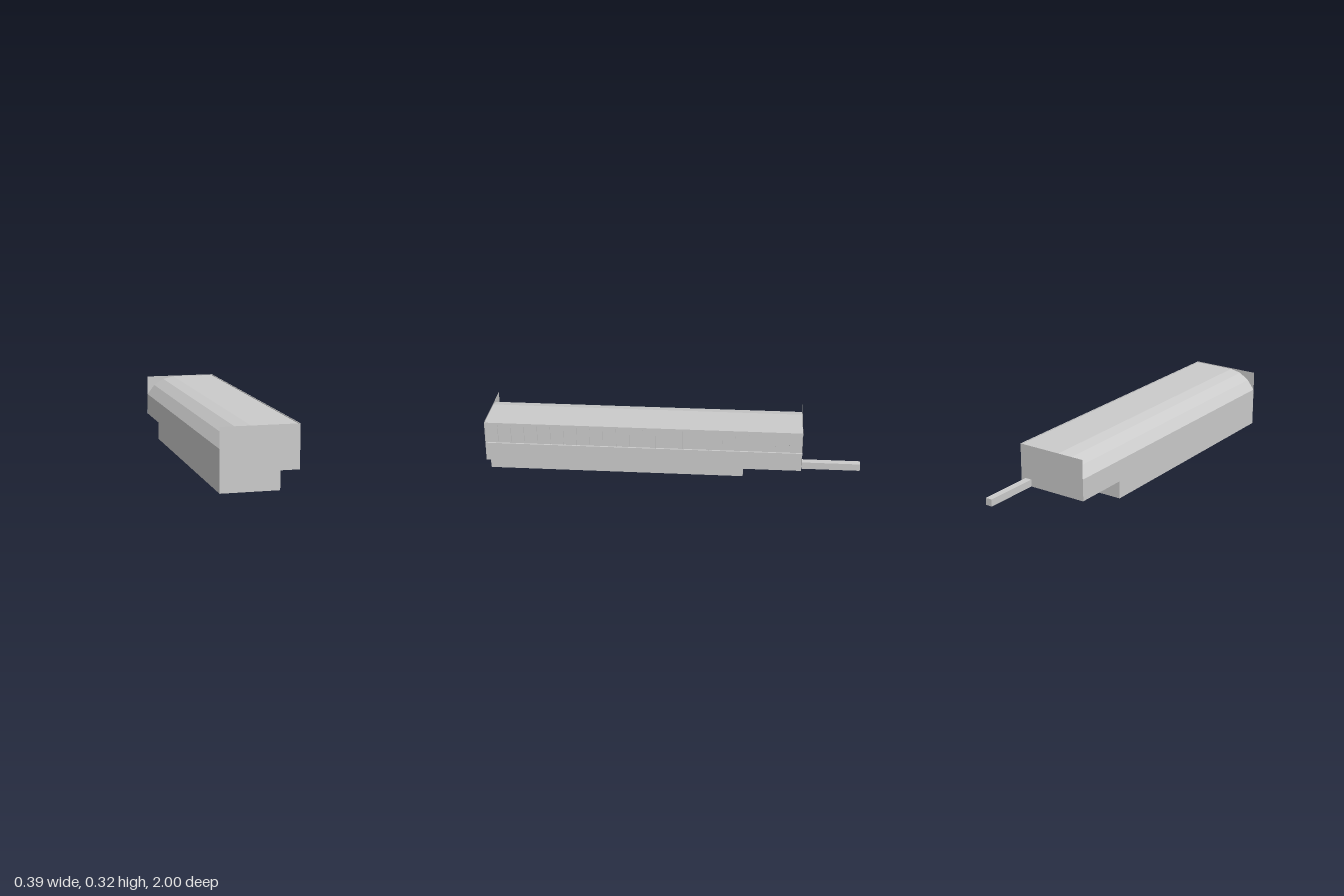
import * as THREE from 'three';

const LEFT = -0.197, RIGHT = 0.197, FLOOR = 0.096, SILL = 0.19, TOP = 0.318;
const BACK = -0.692, FRONT = 1;

export function createModel() {
  const model = new THREE.Group();
  const grey = new THREE.MeshStandardMaterial({ color: 0xcccccc });
  const greyThin = new THREE.MeshStandardMaterial({ color: 0xcccccc, side: THREE.DoubleSide });
  const glass = new THREE.MeshStandardMaterial({ color: 0xeeeeee });

  function add(name, geometry, material = grey, parent = model) {
    const mesh = new THREE.Mesh(geometry, material);
    mesh.name = name;
    parent.add(mesh);
    return mesh;
  }
  // Box given by its limits on each axis
  function box(name, [x0, x1], [y0, y1], [z0, z1], material = grey) {
    const mesh = add(name, new THREE.BoxGeometry(x1 - x0, y1 - y0, z1 - z0), material);
    mesh.position.set((x0 + x1) / 2, (y0 + y1) / 2, (z0 + z1) / 2);
    return mesh;
  }
  const outline = points => new THREE.Shape(points.map(p => new THREE.Vector2(...p)));
  const extrude = points => new THREE.ExtrudeGeometry(outline(points),
    { depth: FRONT - BACK - 0.004, bevelEnabled: false }).translate(0, 0, BACK + 0.002);

  // Long hall body with a recessed window band on its left side
  const curve = [[-0.04, 0.308], [-0.1, 0.295], [-0.153, 0.26], [LEFT + 0.003, 0.207]];
  add('hallBody', extrude([
    [LEFT, FLOOR], [0.195, FLOOR], [0.195, SILL], [0.184, SILL], [0.184, 0.308], ...curve, [LEFT, 0.207],
  ]));

  // Thin roof sheet, flat on one side and curving down on the other
  add('roof', extrude([
    [0.195, 0.308], [0.195, 0.314], [-0.04, 0.314], [-0.102, 0.301], [-0.156, 0.266], [LEFT, 0.213],
    [LEFT, 0.207], ...curve.slice().reverse(),
  ]));
  box('roofEdge', [0.193, RIGHT], [0.306, TOP], [BACK, FRONT]);

  // Base set in on the left, stopping short of the back
  box('base', [LEFT, 0.1], [0, FLOOR], [-0.38, FRONT - 0.002]);

  // Flat end walls rising square above the curved roof
  const endWalls = [
    ['frontWall', FRONT, [[LEFT, 0], [0.1, 0], [0.1, FLOOR], [RIGHT, FLOOR], [RIGHT, TOP], [LEFT, TOP]]],
    ['backWall', BACK, [[LEFT, FLOOR], [RIGHT, FLOOR], [RIGHT, TOP], [LEFT, TOP]]],
  ];
  for (const [name, z, points] of endWalls) {
    add(name, new THREE.ShapeGeometry(outline(points)), greyThin).position.z = z;
  }

  // Window band: sill, glass and thin upright fins
  box('windowSill', [0.184, 0.196], [SILL, 0.198], [BACK, FRONT]);
  box('windowGlass', [0.184, 0.187], [0.198, 0.308], [BACK + 0.002, FRONT - 0.002], glass);
  const fins = new THREE.Group();
  fins.name = 'windowFins';
  model.add(fins);
  const bays = 24;
  const finGeometry = new THREE.PlaneGeometry(0.009, 0.11);
  for (let i = 1; i < bays; i++) {
    add('windowFin', finGeometry, greyThin, fins)
      .position.set(0.1915, 0.253, BACK + (FRONT - BACK) * i / bays);
  }

  // Narrow beam running out from the back
  box('rearBeam', [0.133, 0.17], [FLOOR, 0.134], [-1, BACK]);

  return model;
}
